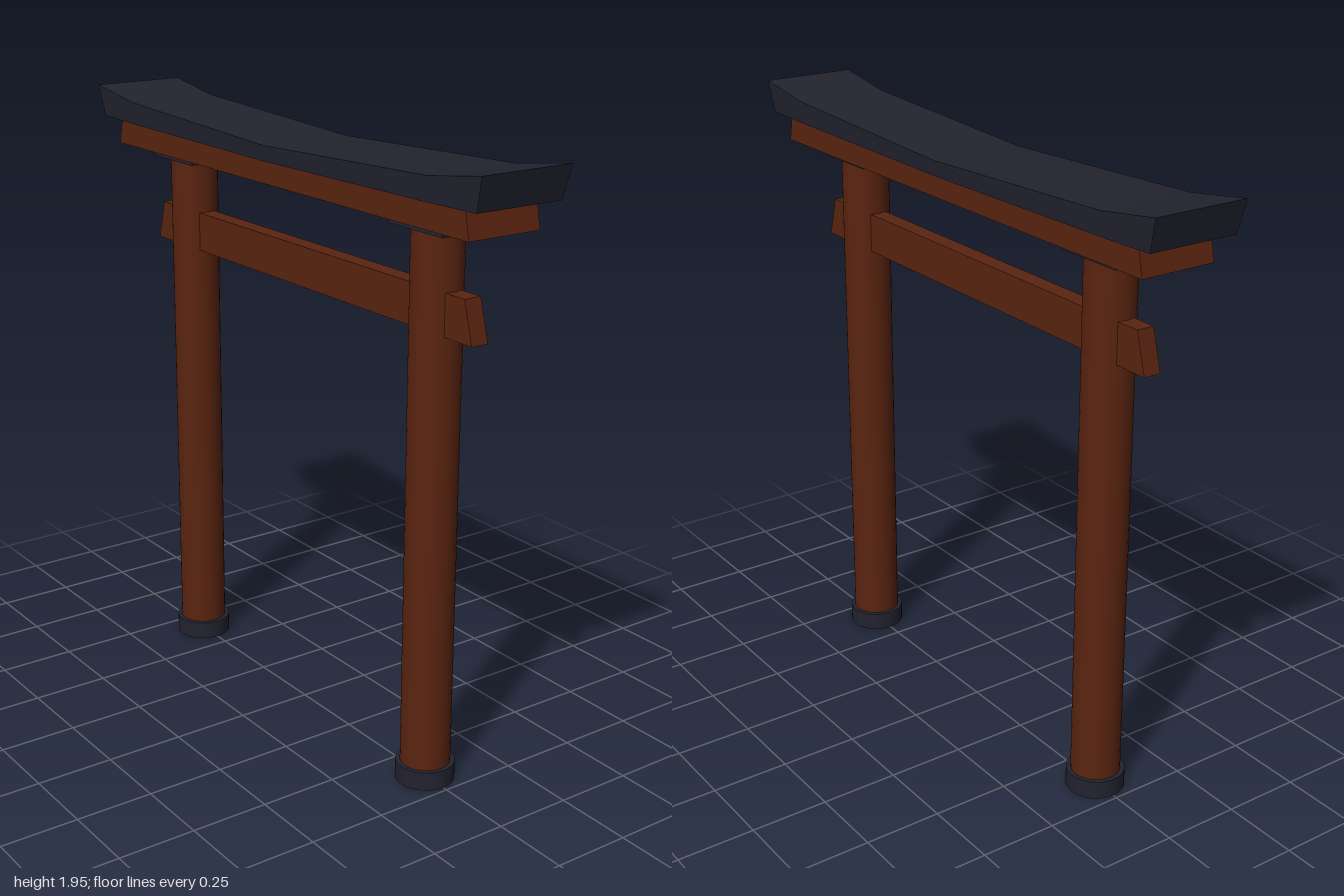
import * as THREE from 'three';

const wood = new THREE.MeshStandardMaterial({ color: 0x5a2410 });
wood.name = 'redBrownWood';
const dark = new THREE.MeshStandardMaterial({ color: 0x22232e });
dark.name = 'darkSlate';

function add(parent, name, geometry, material, x = 0, y = 0, z = 0) {
  const mesh = new THREE.Mesh(geometry, material);
  mesh.name = name;
  mesh.position.set(x, y, z);
  parent.add(mesh);
  return mesh;
}

// Lofts four-cornered sections, ordered from back to front, into a flat-faced solid.
// Section: top z, bottom z, top y, bottom y, half width at top, half width at bottom.
function loft(sections) {
  const rings = sections.map(([zt, zb, yt, yb, wt, wb]) => [
    [wt, yt, zt], [-wt, yt, zt], [-wb, yb, zb], [wb, yb, zb],
  ]);
  const positions = [];
  const quad = (a, b, c, d) => positions.push(...a, ...b, ...c, ...a, ...c, ...d);
  for (let i = 0; i < rings.length - 1; i++) {
    for (let j = 0; j < 4; j++) {
      const k = (j + 1) % 4;
      quad(rings[i][j], rings[i][k], rings[i + 1][k], rings[i + 1][j]);
    }
  }
  const [a, b, c, d] = rings[0];
  quad(d, c, b, a);
  quad(...rings[rings.length - 1]);
  const geometry = new THREE.BufferGeometry();
  geometry.setAttribute('position', new THREE.Float32BufferAttribute(positions, 3));
  geometry.computeVertexNormals();
  return geometry;
}

// Straight beam with slanted ends
function beam(topZ, bottomZ, topY, bottomY, halfWidth) {
  return loft([-1, 1].map((s) => [s * topZ, s * bottomZ, topY, bottomY, halfWidth, halfWidth]));
}

export function createModel() {
  const gate = new THREE.Group();
  gate.name = 'gate';

  // Upswept roof beam
  add(gate, 'roofBeam', loft([
    [-1, -0.975, 1.945, 1.843, 0.157, 0.149],
    [-0.78, -0.78, 1.912, 1.838, 0.155, 0.148],
    [0, 0, 1.88, 1.83, 0.154, 0.147],
    [0.78, 0.78, 1.912, 1.838, 0.155, 0.148],
    [1, 0.975, 1.945, 1.843, 0.157, 0.149],
  ]), dark);

  // Beam under the roof and the lower tie beam
  add(gate, 'upperBeam', beam(0.902, 0.92, 1.841, 1.755, 0.125), wood);
  add(gate, 'tieBeam', beam(0.798, 0.834, 1.56, 1.432, 0.029), wood);

  // Hollow foot ring profile, split at each hard edge
  const ringEdges = [[0.078, 0], [0.092, 0], [0.092, 0.06], [0.078, 0.06], [0.078, 0]];

  for (const side of [1, -1]) {
    const post = new THREE.Group();
    post.name = side > 0 ? 'frontPost' : 'backPost';
    post.position.z = side * 0.643;
    gate.add(post);

    add(post, 'pillar', new THREE.CylinderGeometry(0.078, 0.078, 1.715, 32), wood, 0, 0.8775);
    add(post, 'capPlate', new THREE.BoxGeometry(0.166, 0.027, 0.238), dark, 0, 1.7435);

    const foot = new THREE.Group();
    foot.name = 'foot';
    post.add(foot);
    for (let i = 0; i < 4; i++) {
      const pair = ringEdges.slice(i, i + 2).map(([r, y]) => new THREE.Vector2(r, y));
      add(foot, 'footRing', new THREE.LatheGeometry(pair, 32), dark);
    }
  }
  return gate;
}
